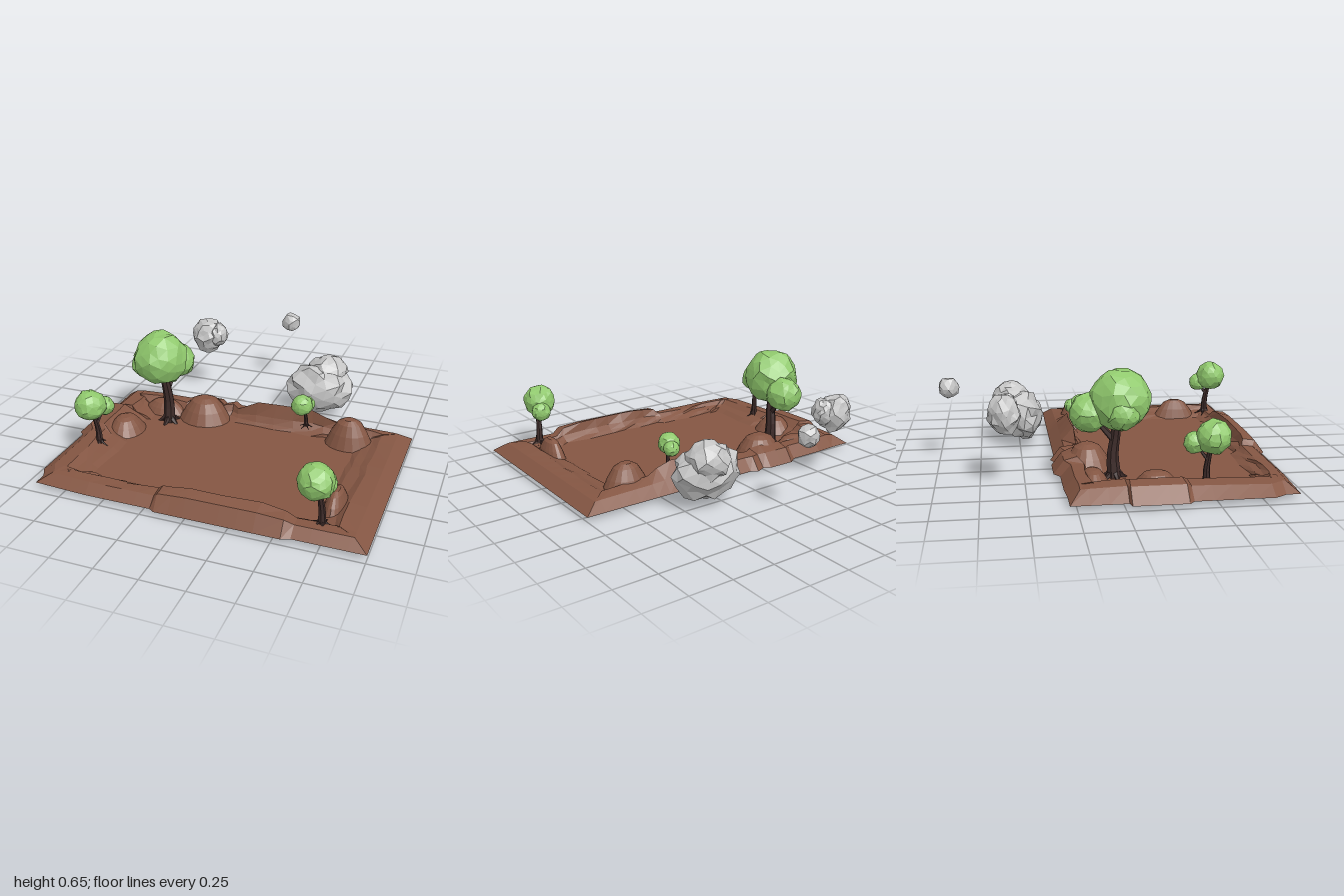
import * as THREE from 'three';
import { mergeVertices } from 'three/addons/utils/BufferGeometryUtils.js';

const flat = (name, color, side = THREE.FrontSide) =>
  Object.assign(new THREE.MeshStandardMaterial({ color, flatShading: true, side }), { name });

function seeded(seed) {
  let s = seed;
  return () => (s = (s * 16807) % 2147483647) / 2147483647;
}

// Outline of the ground, walked from back left: x, z, lip height, crest height
const STATIONS = [
  [-0.96, -0.29, 0.09, 0.09], [-0.96, 0.02, 0.10, 0.11], [-1, 0.03, 0.11, 0.12], [-1, 0.33, 0.11, 0.12],
  [-0.97, 0.36, 0.09, 0.10], [-0.97, 0.8, 0.08, 0.09], [-0.93, 0.87, 0.08, 0.09], [-0.93, 0.95, 0.08, 0.09],
  [-0.6, 0.97, 0.08, 0.09], [-0.4, 0.97, 0.08, 0.08], [-0.2, 0.97, 0.08, 0.09], [-0.17, 0.99, 0.11, 0.12],
  [0, 0.99, 0.12, 0.14], [0.4, 0.99, 0.12, 0.14], [0.55, 0.99, 0.11, 0.12], [0.6, 0.97, 0.08, 0.08],
  [1, 0.97, 0.08, 0.08], [1, 0.75, 0.08, 0.1], [1, 0.5, 0.08, 0.09], [1, 0.1, 0.08, 0.08],
  [1, -0.31, 0.08, 0.09], [0.55, -0.31, 0.09, 0.12], [0.38, -0.31, 0.1, 0.18], [0.02, -0.31, 0.1, 0.18],
  [-0.12, -0.31, 0.1, 0.11], [-0.16, -0.335, 0.11, 0.12], [-0.22, -0.31, 0.1, 0.12], [-0.26, -0.335, 0.11, 0.14],
  [-0.43, -0.335, 0.11, 0.13], [-0.48, -0.3, 0.1, 0.1], [-0.7, -0.3, 0.1, 0.11], [-0.82, -0.29, 0.1, 0.11],
];

// Sheet of land: outer slope, rim, stepped inner bank and level floor
function groundGeometry() {
  const rand = seeded(11);
  // Split long stretches so the inner bank can be craggy
  const stations = [];
  STATIONS.forEach((a, i) => {
    const b = STATIONS[(i + 1) % STATIONS.length];
    const n = Math.max(1, Math.round(Math.hypot(b[0] - a[0], b[1] - a[1]) / 0.11));
    for (let k = 0; k < n; k++) stations.push(a.map((v, j) => v + (b[j] - v) * k / n));
  });
  // Inset in x, inset in z, height rule, jitter
  const rings = [
    [0, 0, () => 0.03, 0],
    [0.08, 0.06, s => s[2], 0],
    [0.17, 0.13, s => s[3], 0.008],
    [0.21, 0.145, s => 0.055 + (s[3] - 0.05) * 0.3, 0.012],
    [0.27, 0.17, () => 0.055, 0.012],
    [0.31, 0.195, () => 0.035, 0.015],
  ];
  const clamp = THREE.MathUtils.clamp, pos = [], index = [], n = stations.length;
  for (const [dx, dz, height, jitter] of rings) {
    for (const s of stations) {
      const [x, z] = s;
      const nx = Math.abs(x) > 0.9 ? -Math.sign(x) : 0;
      const nz = z < -0.25 ? 1 : z > 0.9 ? -1 : 0;
      const px = dx ? clamp(x + nx * dx, -1 + dx, 1 - dx) : x;
      const pz = dz ? clamp(z + nz * dz, -0.335 + dz, 0.99 - dz) : z;
      pos.push(px + (rand() - 0.5) * 2 * jitter, height(s), pz + (rand() - 0.5) * 2 * jitter);
    }
  }
  pos.push(0, 0.035, 0.33);
  for (let r = 0; r < rings.length; r++) {
    for (let i = 0; i < n; i++) {
      const j = (i + 1) % n, a = r * n + i, b = r * n + j;
      if (r === rings.length - 1) index.push(a, b, rings.length * n);
      else index.push(a, b, b + n, a, b + n, a + n);
    }
  }
  const g = new THREE.BufferGeometry();
  g.setAttribute('position', new THREE.Float32BufferAttribute(pos, 3));
  g.setIndex(index);
  g.computeVertexNormals();
  return g;
}

// Ribbed earth mound with a small flat top
function moundGeometry(rx, rz, h) {
  const g = new THREE.CylinderGeometry(0.25, 1, 1, 18, 3, false);
  const p = g.attributes.position;
  for (let i = 0; i < p.count; i++) {
    const x = p.getX(i), z = p.getZ(i), t = p.getY(i) + 0.5;
    const rib = 1 + 0.09 * Math.cos(Math.atan2(z, x) * 9) * (1 - t);
    const y = Math.sin(t * Math.PI / 2);
    p.setXYZ(i, x * rib * rx, y * h, z * rib * rz);
  }
  g.computeVertexNormals();
  return g;
}

// Crumpled ball, used for leaves and boulders
function lumpGeometry(detail, rough, seed) {
  const rand = seeded(seed);
  const g = new THREE.IcosahedronGeometry(1, detail);
  g.deleteAttribute('normal');
  g.deleteAttribute('uv');
  const m = mergeVertices(g, 1e-3), p = m.attributes.position, v = new THREE.Vector3();
  for (let i = 0; i < p.count; i++) {
    v.fromBufferAttribute(p, i);
    v.x += (rand() - 0.5) * 0.16;
    v.y += (rand() - 0.5) * 0.16;
    v.z += (rand() - 0.5) * 0.16;
    v.setLength(1 + (rand() - 0.5) * 2 * rough);
    p.setXYZ(i, v.x, v.y, v.z);
  }
  m.computeVertexNormals();
  return m;
}

// Tube that narrows from r0 to r1 along its path
function taperedTube(points, r0, r1, sides = 7) {
  const curve = new THREE.CatmullRomCurve3(points.map(p => new THREE.Vector3(...p)));
  const segs = 8, g = new THREE.TubeGeometry(curve, segs, 1, sides, false);
  const p = g.attributes.position, c = new THREE.Vector3(), v = new THREE.Vector3();
  for (let i = 0; i < p.count; i++) {
    const t = Math.floor(i / (sides + 1)) / segs;
    curve.getPointAt(t, c);
    v.fromBufferAttribute(p, i).sub(c).multiplyScalar(r1 + (r0 - r1) * (1 - t) ** 1.5).add(c);
    p.setXYZ(i, v.x, v.y, v.z);
  }
  g.computeVertexNormals();
  return g;
}

export function createModel() {
  const model = new THREE.Group();
  const earth = flat('earth brown', 0x845643, THREE.DoubleSide);
  const bark = flat('dark bark', 0x3d2b29, THREE.DoubleSide);
  const leaf = flat('leaf green', 0x90c96d);
  const stone = flat('stone grey', 0xc6c6c6);

  const add = (parent, name, geometry, material, pos = [0, 0, 0], scale = [1, 1, 1]) => {
    const mesh = new THREE.Mesh(geometry, material);
    mesh.name = name;
    mesh.position.set(...pos);
    mesh.scale.set(...scale);
    parent.add(mesh);
    return mesh;
  };

  add(model, 'ground', groundGeometry(), earth);

  // Mounds on the rim: x, z, radius x, radius z, height
  [
    [-0.33, -0.13, 0.17, 0.15, 0.145],
    [0.64, -0.11, 0.15, 0.12, 0.165],
    [-0.74, 0.2, 0.12, 0.14, 0.095],
    [0.75, 0.62, 0.07, 0.15, 0.125],
    [-0.62, -0.13, 0.15, 0.09, 0.08],
  ].forEach(([x, z, rx, rz, h]) =>
    add(model, 'mound', moundGeometry(rx, rz, h), earth, [x, 0.035, z]));

  // Trees: foot, trunk top, trunk radius, leaf balls [x, y, z, radius]
  const trees = [
    { foot: [-0.53, 0.03, 0], top: [-0.57, 0.42, 0.01], r: 0.042,
      balls: [[-0.56, 0.49, 0.03, 0.17], [-0.52, 0.41, -0.14, 0.11], [-0.66, 0.43, 0.03, 0.09]] },
    { foot: [-0.78, 0.07, 0.47], top: [-0.81, 0.29, 0.48], r: 0.022,
      balls: [[-0.81, 0.33, 0.495, 0.095], [-0.77, 0.29, 0.4, 0.06]] },
    { foot: [0.73, 0.07, 0.84], top: [0.7, 0.31, 0.86], r: 0.024,
      balls: [[0.7, 0.34, 0.87, 0.098], [0.73, 0.29, 0.785, 0.06]] },
    { foot: [0.36, 0.1, -0.12], top: [0.34, 0.24, -0.11], r: 0.015,
      balls: [[0.335, 0.25, -0.1, 0.066], [0.355, 0.235, -0.155, 0.048]] },
  ];
  trees.forEach(({ foot, top, r, balls }, t) => {
    const tree = new THREE.Group();
    tree.name = 'tree';
    model.add(tree);
    const at = (k, dx, dz) => [
      foot[0] + (top[0] - foot[0]) * k + dx, foot[1] + (top[1] - foot[1]) * k, foot[2] + (top[2] - foot[2]) * k + dz];
    add(tree, 'trunk', taperedTube([foot, at(0.35, r * 0.3, -r * 0.3), at(0.7, r * 0.4, 0), top], r, r * 0.6), bark);
    // Branch reaching the second leaf ball
    add(tree, 'branch', taperedTube([at(0.55, r * 0.3, 0), balls[1].slice(0, 3)], r * 0.55, r * 0.3, 5), bark);
    // Roots spreading into the soil
    for (let i = 0; i < 5; i++) {
      const a = i * Math.PI * 0.4 + t + 0.4, c = Math.cos(a), s = Math.sin(a);
      const out = (d, y) => [foot[0] + c * d * r, foot[1] + y * r, foot[2] + s * d * r];
      add(tree, 'root', taperedTube([out(0.3, 1), out(1.4, 0.1), out(2.8, -0.55)], r * 0.5, r * 0.12, 5), bark);
    }
    balls.forEach(([x, y, z, q], i) =>
      add(tree, 'leaves', lumpGeometry(2, 0.06, 31 + t * 17 + i * 5), leaf, [x, y, z], [q, q, q]));
  });

  // Floating boulders behind the land: centre, radii, tilt
  [
    [[0.34, 0.2, -0.49], [0.21, 0.16, 0.14], 0.35],
    [[0.38, 0.29, -0.55], [0.13, 0.11, 0.12], 0],
    [[-0.5, 0.41, -0.61], [0.11, 0.115, 0.09], 0.1],
    [[-0.42, 0.43, -0.6], [0.06, 0.08, 0.07], 0],
    [[0, 0.46, -0.93], [0.062, 0.065, 0.062], 0],
  ].forEach(([pos, radii, tilt], i) => {
    const rock = add(model, 'boulder', lumpGeometry(i === 4 ? 1 : 2, 0.11, 101 + i * 13), stone, pos, radii);
    rock.rotation.x = -tilt;
  });

  return model;
}
